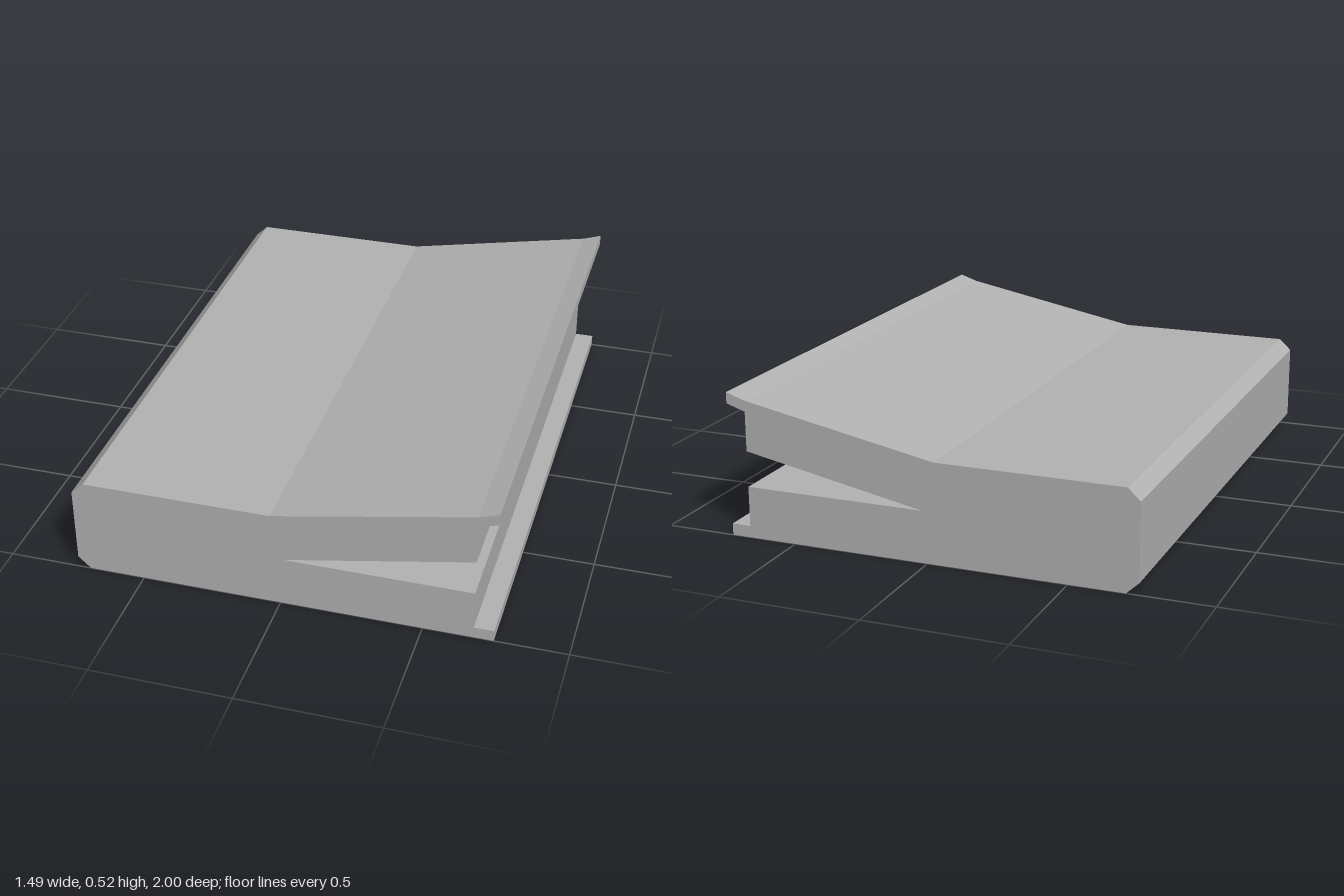
import * as THREE from 'three';

export function createModel() {
  const group = new THREE.Group();
  group.name = 'openBook';
  const grey = new THREE.MeshStandardMaterial({ color: 0xb3b3b3 });
  grey.name = 'grey';

  // End profile: bevelled spine on -x, two overhanging covers on +x
  const profile = [
    [-0.7, 0], [0.745, 0], [0.745, 0.042], [0.675, 0.042],   // lower cover lip
    [0.675, 0.186], [0.015, 0.186], [0.675, 0.315],          // wedge between the page blocks
    [0.675, 0.457], [0.745, 0.479], [0.745, 0.519],          // upper cover lip
    [0.675, 0.496], [-0.03, 0.36],                           // lifted cover and hinge
    [-0.7, 0.36], [-0.745, 0.318], [-0.745, 0.042],          // spine
  ];
  const shape = new THREE.Shape(profile.map(([x, y]) => new THREE.Vector2(x, y)));

  // Run the profile along the full length of the book
  const geometry = new THREE.ExtrudeGeometry(shape, { depth: 2, bevelEnabled: false });
  geometry.translate(0, 0, -1);

  const book = new THREE.Mesh(geometry, grey);
  book.name = 'coversAndPages';
  group.add(book);
  return group;
}
